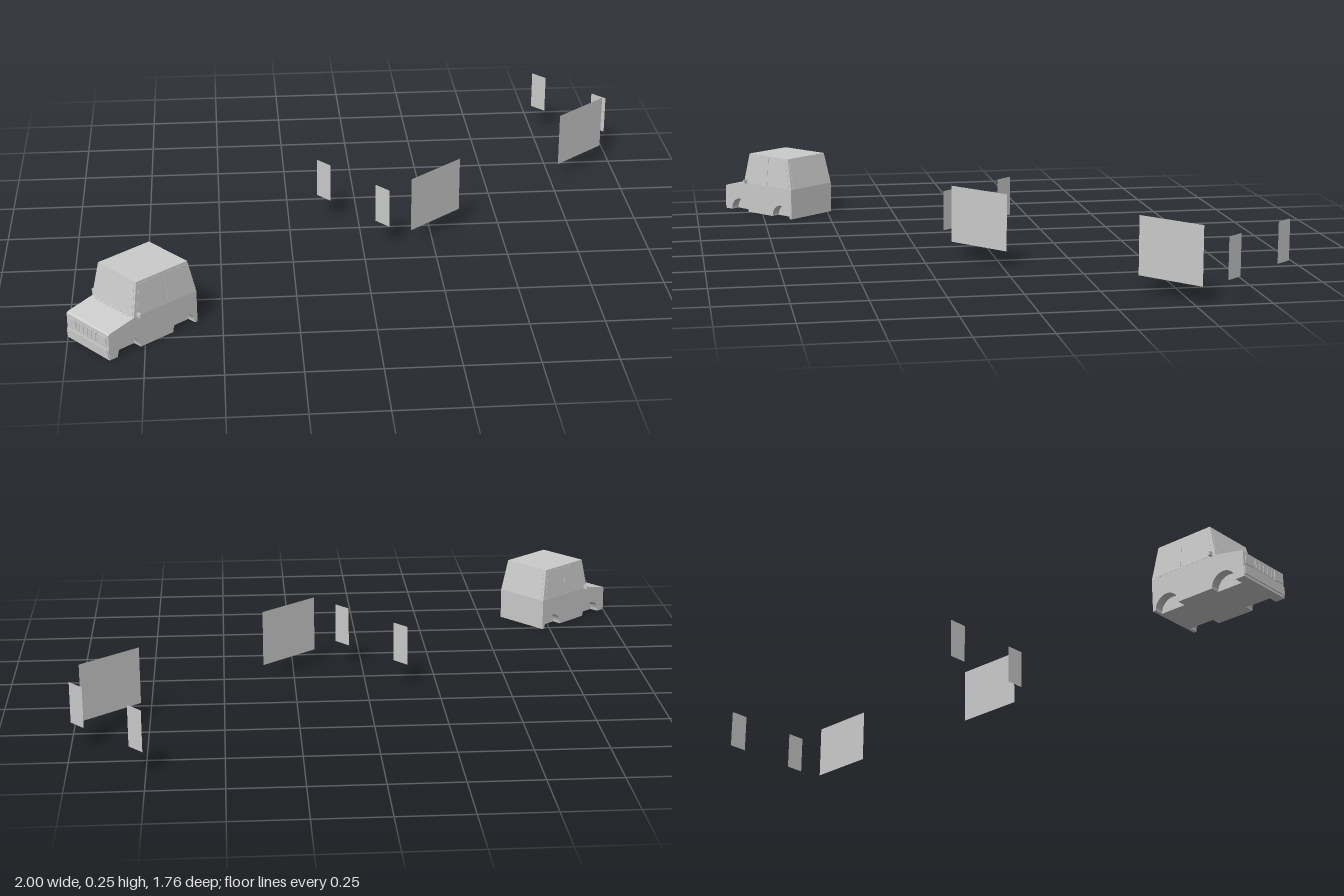
import * as THREE from 'three';

const mat = new THREE.MeshStandardMaterial({ color: 0xcccccc, flatShading: true });
const thin = new THREE.MeshStandardMaterial({ color: 0xcccccc, side: THREE.DoubleSide });
const YAW = -0.869;

// car dimensions (car faces its own +z)
const HW = 0.1075, FRONT = 0.182, BACK = -0.182, BELT = 0.113, ROOF = 0.228;
const ROOF_HW = 0.097, COWL = 0.077, ROOF_FRONT = 0.053, ROOF_BACK = -0.157;
const WELL = 0.033, ARCH_R = 0.046, AXLES = [-0.125, 0.102];

const V = (x, y, z) => new THREE.Vector3(x, y, z);

function add(parent, name, geometry, material = mat) {
  const mesh = new THREE.Mesh(geometry, material);
  mesh.name = name;
  parent.add(mesh);
  return mesh;
}

// side profile extruded across the car, from x0 to x1
function profile(x0, x1, arches) {
  const s = new THREE.Shape();
  s.moveTo(BACK, 0);
  if (arches) {
    for (const z of AXLES) {
      s.lineTo(z - ARCH_R, 0);
      s.absarc(z, 0, ARCH_R, Math.PI, 0, true);
    }
  }
  s.lineTo(FRONT, 0);
  s.lineTo(FRONT, 0.088);
  s.lineTo(FRONT - 0.006, 0.093);
  s.lineTo(COWL, BELT);
  s.lineTo(BACK, BELT);
  const g = new THREE.ExtrudeGeometry(s, { depth: x1 - x0, bevelEnabled: false, curveSegments: 8 });
  return g.rotateY(-Math.PI / 2).translate(x1, 0, 0);
}

// thin raised plate on a four-cornered face; corners run counter-clockwise from bottom left
function plate(parent, name, [a, b, c, d], u0, u1, v0, v1, thick = 0.002) {
  const g = new THREE.BoxGeometry(1, 1, 1);
  const p = g.attributes.position;
  const n = b.clone().sub(a).cross(d.clone().sub(a)).normalize();
  for (let i = 0; i < p.count; i++) {
    const u = u0 + (u1 - u0) * (p.getX(i) + 0.5);
    const v = v0 + (v1 - v0) * (p.getY(i) + 0.5);
    const q = a.clone().lerp(b, u).lerp(d.clone().lerp(c, u), v);
    q.addScaledVector(n, thick * (p.getZ(i) + 0.5));
    p.setXYZ(i, q.x, q.y, q.z);
  }
  g.computeVertexNormals();
  return add(parent, name, g);
}

function createCar() {
  const car = new THREE.Group();
  car.name = 'car';

  // lower body: solid core with arched flanks
  add(car, 'bodyCore', profile(-HW + WELL, HW - WELL, false));
  add(car, 'leftFlank', profile(HW - WELL, HW, true));
  add(car, 'rightFlank', profile(-HW, -HW + WELL, true));

  // tapered cabin
  const cabin = new THREE.BoxGeometry(1, 1, 1);
  const p = cabin.attributes.position;
  for (let i = 0; i < p.count; i++) {
    const top = p.getY(i) > 0, fore = p.getZ(i) > 0;
    const z = fore ? (top ? ROOF_FRONT : COWL) : (top ? ROOF_BACK : BACK);
    p.setXYZ(i, Math.sign(p.getX(i)) * (top ? ROOF_HW : HW), top ? ROOF : BELT, z);
  }
  cabin.computeVertexNormals();
  add(car, 'cabin', cabin);

  // windows
  const glass = {
    windshield: [V(-HW, BELT, COWL), V(HW, BELT, COWL), V(ROOF_HW, ROOF, ROOF_FRONT), V(-ROOF_HW, ROOF, ROOF_FRONT)],
    rear: [V(HW, BELT, BACK), V(-HW, BELT, BACK), V(-ROOF_HW, ROOF, ROOF_BACK), V(ROOF_HW, ROOF, ROOF_BACK)],
    left: [V(HW, BELT, COWL), V(HW, BELT, BACK), V(ROOF_HW, ROOF, ROOF_BACK), V(ROOF_HW, ROOF, ROOF_FRONT)],
    right: [V(-HW, BELT, BACK), V(-HW, BELT, COWL), V(-ROOF_HW, ROOF, ROOF_FRONT), V(-ROOF_HW, ROOF, ROOF_BACK)],
  };
  plate(car, 'windshield', glass.windshield, 0.04, 0.96, 0.04, 0.94, 0.001);
  plate(car, 'rearWindow', glass.rear, 0.05, 0.95, 0.04, 0.92, 0.001);
  plate(car, 'leftFrontWindow', glass.left, 0.05, 0.5, 0.02, 0.93, 0.001);
  plate(car, 'leftRearWindow', glass.left, 0.54, 0.95, 0.02, 0.93, 0.001);
  plate(car, 'rightRearWindow', glass.right, 0.05, 0.46, 0.02, 0.93, 0.001);
  plate(car, 'rightFrontWindow', glass.right, 0.5, 0.95, 0.02, 0.93, 0.001);

  // nose: grille with bars, headlights, bumper
  const nose = [V(-HW, 0, FRONT), V(HW, 0, FRONT), V(HW, 0.088, FRONT), V(-HW, 0.088, FRONT)];
  plate(car, 'bumper', nose, 0.01, 0.99, 0.1, 0.42, 0.004);
  plate(car, 'grille', nose, 0.27, 0.73, 0.54, 0.9, 0.001);
  for (let i = 0; i < 5; i++) {
    const u = 0.3 + i * 0.095;
    plate(car, 'grilleBar', nose, u, u + 0.02, 0.56, 0.88, 0.003);
  }
  for (const u of [0.05, 0.77]) plate(car, 'headlight', nose, u, u + 0.18, 0.54, 0.9, 0.003);

  // cowl vents and door mirrors
  for (let i = 0; i < 9; i++) {
    add(car, 'cowlVent', new THREE.BoxGeometry(0.01, 0.003, 0.006)
      .translate(-0.08 + i * 0.02, BELT - 0.001, COWL + 0.004));
  }
  for (const s of [-1, 1]) {
    add(car, 'doorMirror', new THREE.BoxGeometry(0.018, 0.014, 0.007)
      .translate(s * (HW + 0.007), BELT + 0.006, 0.062));
  }

  car.position.set(-0.791, 0, 0.683);
  car.rotation.y = YAW;
  return car;
}

export function createModel() {
  const model = new THREE.Group();
  model.add(createCar());

  // free-standing upright panels: wide ones run along the car, narrow ones across it
  const wide = new THREE.PlaneGeometry(0.248, 0.198);
  const narrow = new THREE.PlaneGeometry(0.07, 0.14);
  for (const [x, z] of [[0.265, 0.067], [0.875, -0.448]]) {
    const m = add(model, 'widePanel', wide, thin);
    m.position.set(x, 0.154, z);
    m.rotation.y = YAW + Math.PI / 2;
  }
  for (const [x, z] of [[-0.122, -0.09], [0.07, 0.137], [0.78, -0.852], [0.976, -0.628]]) {
    const m = add(model, 'narrowPanel', narrow, thin);
    m.position.set(x, 0.15, z);
    m.rotation.y = YAW;
  }
  return model;
}
